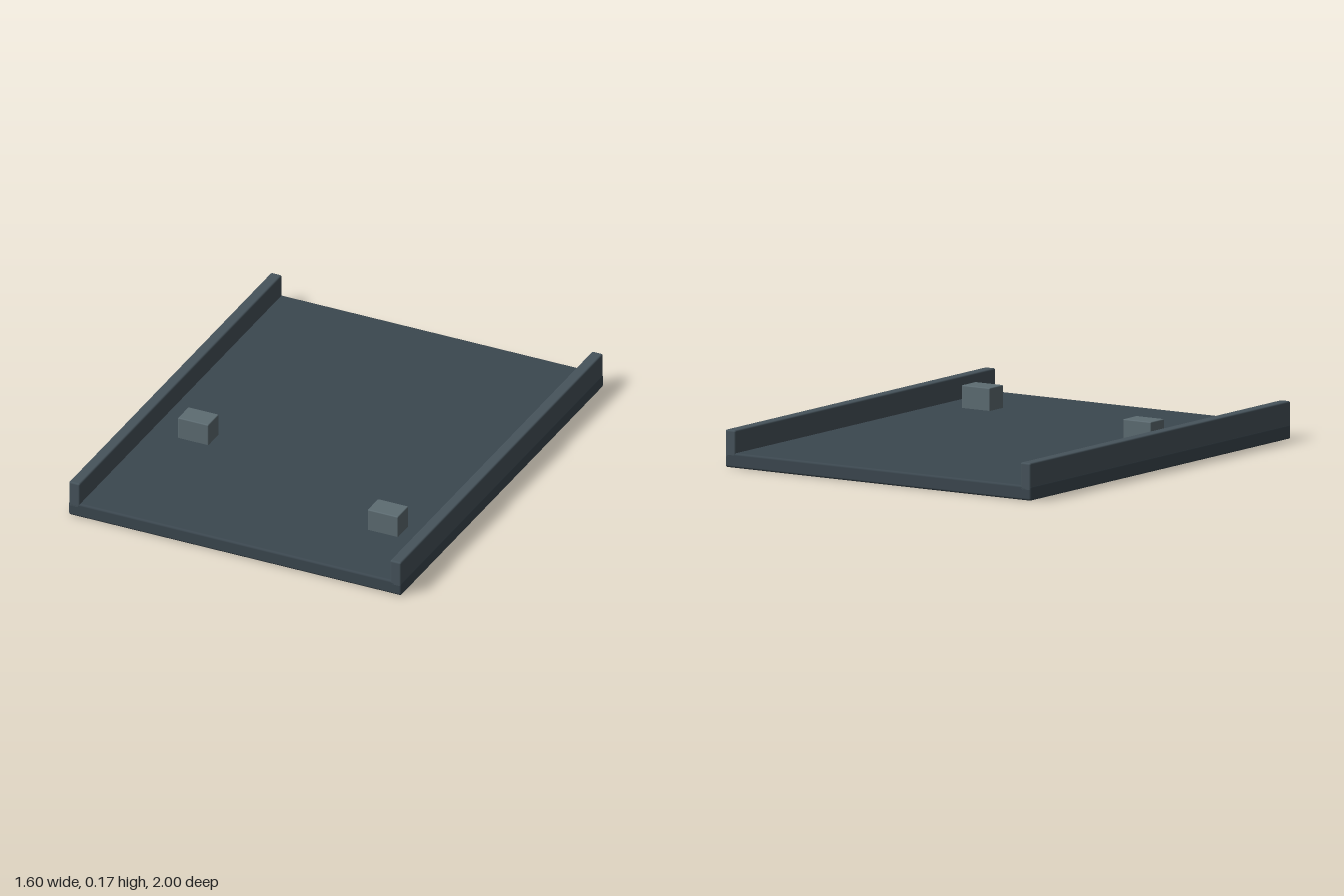
import * as THREE from 'three';
import { RoundedBoxGeometry } from 'three/addons/geometries/RoundedBoxGeometry.js';

const paint = (color) => new THREE.MeshStandardMaterial({ color });

// Softly rounded box given by its size, base height and ground position
function addBox(parent, name, [w, h, d], [x, y, z], radius, material) {
  const mesh = new THREE.Mesh(new RoundedBoxGeometry(w, h, d, 3, radius), material);
  mesh.name = name;
  mesh.position.set(x, y + h / 2, z);
  parent.add(mesh);
}

export function createModel() {
  const model = new THREE.Group();
  model.name = 'railedTray';
  const deckPaint = paint(0x3b474f);
  const railPaint = paint(0x46535b);
  const blockPaint = paint(0x5d6c72);

  // Flat base plate
  addBox(model, 'deck', [1.6, 0.065, 2], [0, 0, 0], 0.01, deckPaint);

  // Raised rail along each long side
  for (const [side, name] of [[-1, 'rightRail'], [1, 'leftRail']]) {
    addBox(model, name, [0.053, 0.125, 2], [side * 0.772, 0.04, 0], 0.008, railPaint);
  }

  // Two staggered blocks standing on the deck
  addBox(model, 'rightBlock', [0.147, 0.115, 0.105], [-0.541, 0.05, 0.248], 0.005, blockPaint);
  addBox(model, 'leftBlock', [0.147, 0.115, 0.105], [0.541, 0.05, 0.598], 0.005, blockPaint);

  return model;
}
